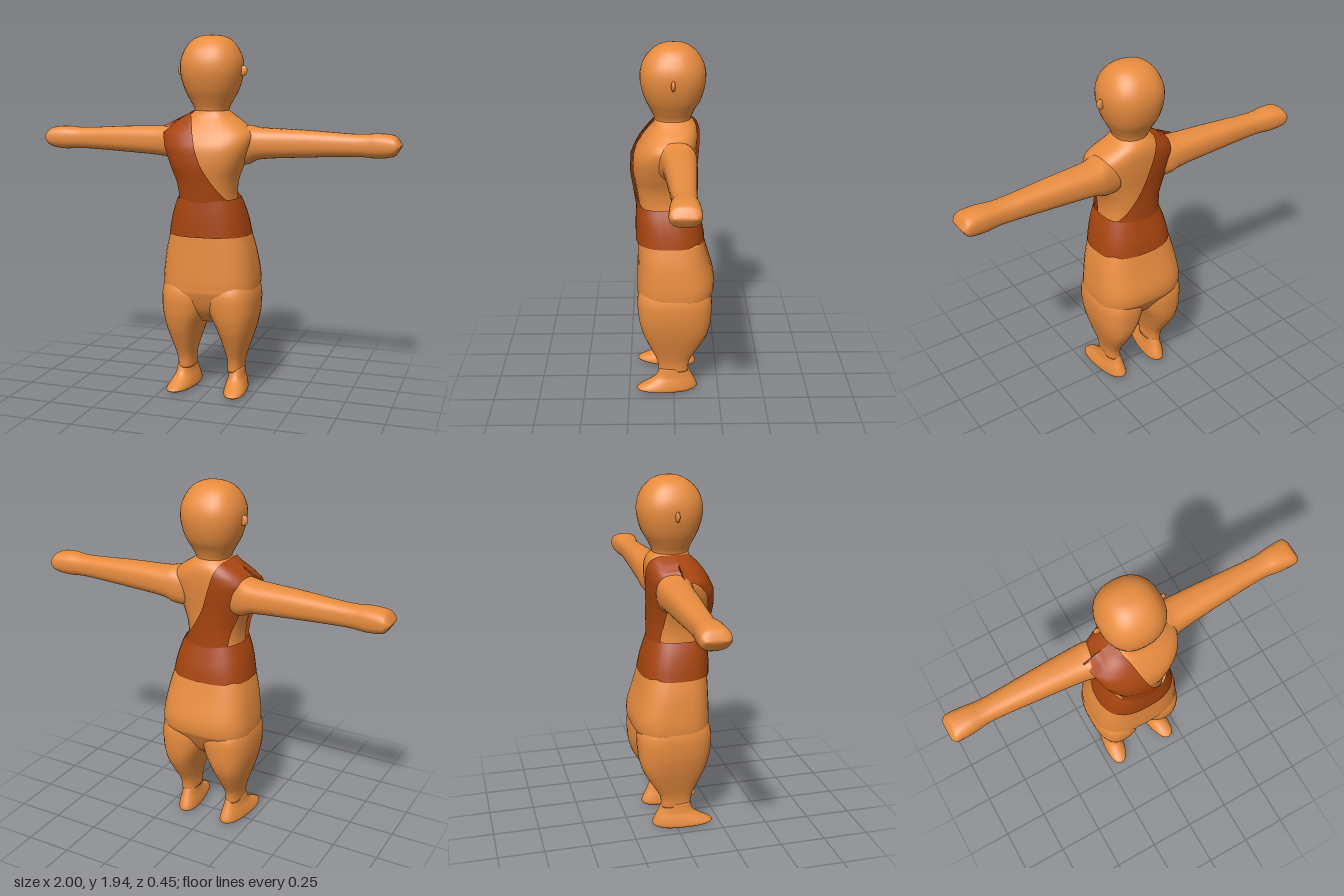
import * as THREE from 'three';

const SKIN = new THREE.MeshStandardMaterial({ color: 0xe88c3f });
const CLOTH = new THREE.MeshStandardMaterial({ color: 0xa8450f, side: THREE.DoubleSide });

// Smooth interpolation through rows of numbers, k in row units
function sample(rows, k) {
  const i = Math.min(Math.floor(k), rows.length - 2), f = k - i;
  const a = rows[Math.max(i - 1, 0)], b = rows[i], c = rows[i + 1], d = rows[Math.min(i + 2, rows.length - 1)];
  return b.map((v, j) => v + 0.5 * f * (c[j] - a[j] + f * (2 * a[j] - 5 * v + 4 * c[j] - d[j] + f * (3 * (v - c[j]) + d[j] - a[j]))));
}

function build(pos, idx) {
  const g = new THREE.BufferGeometry();
  g.setAttribute('position', new THREE.Float32BufferAttribute(pos, 3));
  g.setIndex(idx);
  g.computeVertexNormals();
  return g;
}

// Superellipse loft up y; each row is [y, xMin, xMax, zMin, zMax]
function loft(rows, p = 2.4, caps = true, seg = 32, sub = 4) {
  const pos = [], idx = [], n = (rows.length - 1) * sub;
  const soft = (v) => Math.sign(v) * Math.pow(Math.abs(v), 2 / p);
  for (let r = 0; r <= n; r++) {
    const [y, x0, x1, z0, z1] = sample(rows, r / sub);
    for (let s = 0; s < seg; s++) {
      const a = (s / seg) * Math.PI * 2;
      pos.push((x0 + x1) / 2 + (x1 - x0) / 2 * soft(Math.cos(a)), y, (z0 + z1) / 2 + (z1 - z0) / 2 * soft(Math.sin(a)));
      if (r < n) {
        const i = r * seg + s, j = r * seg + (s + 1) % seg;
        idx.push(i, i + seg, j, j, i + seg, j + seg);
      }
    }
  }
  if (caps) [0, n].forEach((r) => {
    const [y, x0, x1, z0, z1] = sample(rows, r / sub), c = pos.length / 3;
    pos.push((x0 + x1) / 2, y, (z0 + z1) / 2);
    for (let s = 0; s < seg; s++) {
      const i = r * seg + s, j = r * seg + (s + 1) % seg;
      idx.push(...(r ? [c, j, i] : [c, i, j]));
    }
  });
  return build(pos, idx);
}

function mirrored(geo) {
  const g = geo.clone().scale(-1, 1, 1);
  g.setIndex(Array.from(g.index.array).reverse());
  g.computeVertexNormals();
  return g;
}

const sym = (rows) => rows.map(([y, w, z0, z1]) => [y, -w, w, z0, z1]);

// Torso rows: [y, half width, back, front]
const TORSO = [
  [0.95, 0.17, -0.13, 0.17], [1.08, 0.148, -0.105, 0.185], [1.18, 0.155, -0.105, 0.2], [1.27, 0.19, -0.11, 0.215],
  [1.36, 0.225, -0.12, 0.21], [1.43, 0.235, -0.125, 0.175], [1.48, 0.185, -0.125, 0.14], [1.52, 0.125, -0.115, 0.11], [1.55, 0.085, -0.09, 0.1],
];

// Depth of the torso, slightly inflated, at a given x and y
function torsoDepth(x, y, side) {
  let k = 0;
  while (k < TORSO.length - 2 && TORSO[k + 1][0] < y) k++;
  const f = Math.min((y - TORSO[k][0]) / (TORSO[k + 1][0] - TORSO[k][0]), 1.2);
  const [, w, z0, z1] = TORSO[k].map((v, j) => v + f * (TORSO[k + 1][j] - v));
  const reach = Math.min(Math.abs(x) / (w + 0.022), 1);
  return (z0 + z1) / 2 + side * ((z1 - z0) / 2 + 0.016) * Math.pow(1 - Math.pow(reach, 2.4), 1 / 2.4);
}

// Diagonal strap rows: [outer x, outer y, inner x, inner y]
const STRAP = [
  [-0.27, 1.462, -0.095, 1.548], [-0.245, 1.42, -0.07, 1.5], [-0.215, 1.35, -0.04, 1.41],
  [-0.175, 1.25, 0.005, 1.28], [-0.14, 1.16, 0.07, 1.17], [-0.125, 1.06, 0.155, 1.06],
];

function strap(side) {
  const pos = [], idx = [], n = 25, m = 12;
  for (let r = 0; r <= n; r++) {
    const [ox, oy, ix, iy] = sample(STRAP, r / 5);
    for (let c = 0; c <= m; c++) {
      const x = ox + (ix - ox) * c / m, y = oy + (iy - oy) * c / m;
      pos.push(x, y, r ? torsoDepth(x, y, side) : 0.01);
      if (r < n && c < m) {
        const i = r * (m + 1) + c, j = i + m + 1;
        idx.push(...(side > 0 ? [i, j, i + 1, i + 1, j, j + 1] : [i, i + 1, j, i + 1, j + 1, j]));
      }
    }
  }
  return build(pos, idx);
}

export function createModel() {
  const model = new THREE.Group();
  const add = (name, geo, mat = SKIN) => {
    const mesh = new THREE.Mesh(geo, mat);
    mesh.name = name;
    model.add(mesh);
  };
  const pair = (name, geo) => {
    add('left' + name, geo);
    add('right' + name, mirrored(geo));
  };

  // Head with neck
  add('head', loft(sym([
    [1.5, 0.09, -0.09, 0.1], [1.55, 0.088, -0.09, 0.1], [1.6, 0.112, -0.11, 0.12], [1.66, 0.142, -0.145, 0.15], [1.74, 0.163, -0.166, 0.172],
    [1.81, 0.163, -0.165, 0.17], [1.87, 0.14, -0.14, 0.145], [1.915, 0.105, -0.098, 0.1], [1.937, 0.06, -0.055, 0.055], [1.943, 0.015, -0.015, 0.015],
  ]), 2.3));
  pair('Ear', new THREE.SphereGeometry(1, 12, 8).scale(0.024, 0.028, 0.011).rotateZ(-0.25).translate(0.17, 1.757, 0.003));

  // Torso and arms
  add('torso', loft(sym(TORSO)));
  const arm = loft([
    [0.12, -1.46, -1.26, -0.1, 0.09], [0.2, -1.473, -1.265, -0.115, 0.085], [0.27, -1.46, -1.293, -0.118, 0.062], [0.5, -1.452, -1.308, -0.11, 0.04],
    [0.77, -1.437, -1.32, -0.1, 0.02], [0.88, -1.443, -1.315, -0.11, 0.03], [0.96, -1.435, -1.325, -0.115, 0.035], [0.985, -1.412, -1.35, -0.108, 0.03], [1, -1.385, -1.375, -0.09, 0.01],
  ], 2.5).rotateZ(-Math.PI / 2);
  pair('Arm', arm);

  // Trousers: hips and legs
  add('hips', loft(sym([
    [0.4, 0.05, -0.05, 0.06], [0.47, 0.2, -0.14, 0.15], [0.57, 0.25, -0.205, 0.195], [0.61, 0.258, -0.222, 0.2],
    [0.68, 0.255, -0.22, 0.2], [0.8, 0.238, -0.185, 0.195], [0.9, 0.212, -0.158, 0.192],
  ]), 3));
  pair('Leg', loft([
    [0.13, 0.1, 0.183, -0.08, 0.085], [0.2, 0.098, 0.19, -0.09, 0.095], [0.3, 0.073, 0.22, -0.15, 0.14], [0.38, 0.045, 0.243, -0.19, 0.173],
    [0.48, 0, 0.262, -0.207, 0.195], [0.6, -0.02, 0.258, -0.2, 0.192], [0.72, 0, 0.2, -0.12, 0.12],
  ], 2.6));

  // Feet, turned slightly outward
  pair('Foot', loft(sym([
    [0.005, 0.045, -0.1, 0.09], [0.018, 0.06, -0.125, 0.185], [0.035, 0.062, -0.13, 0.205],
    [0.07, 0.054, -0.115, 0.14], [0.1, 0.045, -0.1, 0.1], [0.15, 0.039, -0.078, 0.08],
  ]), 2.3).rotateY(0.14).translate(0.145, 0, 0));

  // Waist wrap and diagonal strap over the right shoulder
  add('waistWrap', loft(sym([
    [0.89, 0.22, -0.168, 0.205], [0.96, 0.207, -0.155, 0.205], [1.03, 0.188, -0.135, 0.203], [1.09, 0.164, -0.118, 0.2],
  ]), 2.6, false), CLOTH);
  add('strapFront', strap(1), CLOTH);
  add('strapBack', strap(-1), CLOTH);
  return model;
}
